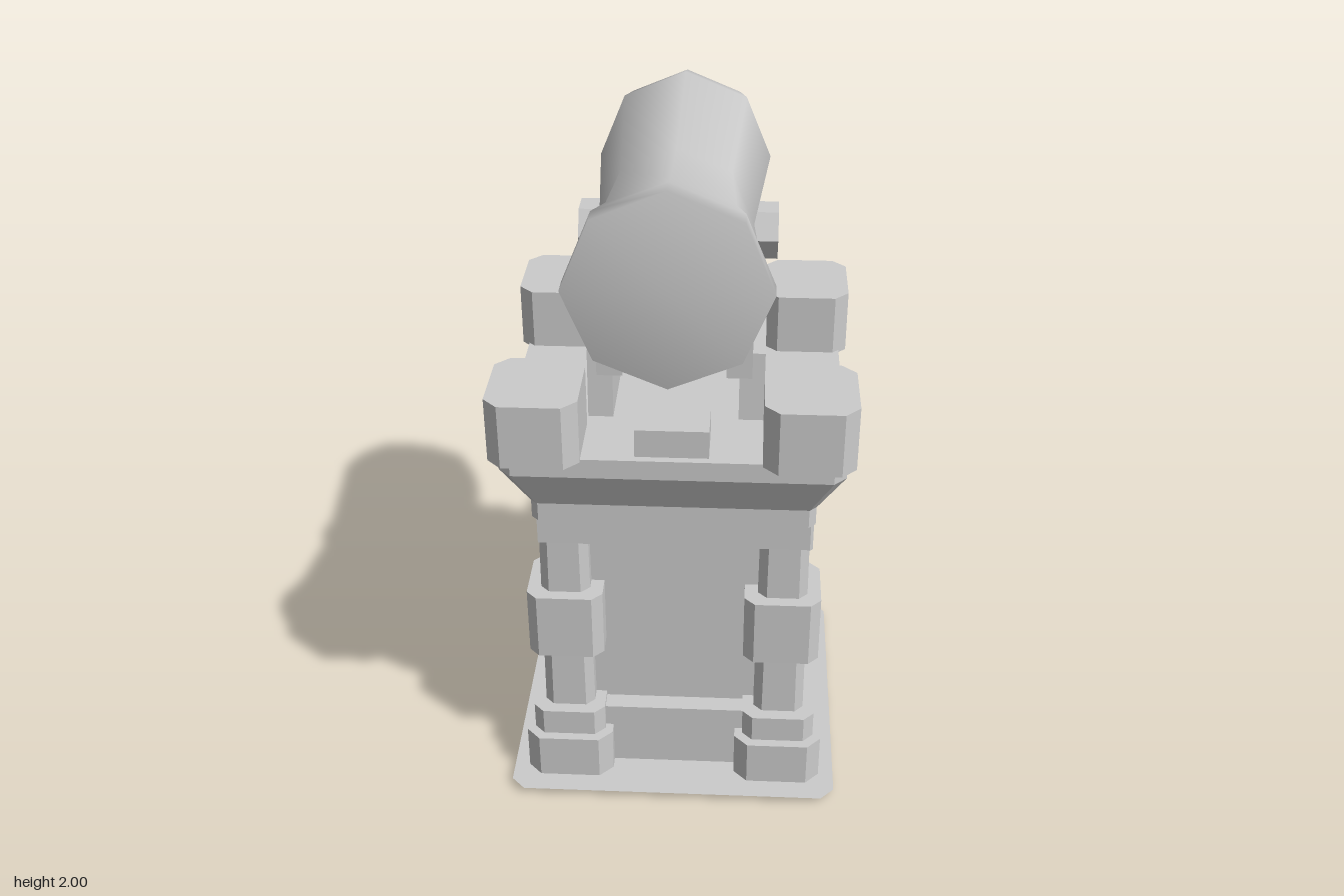
import * as THREE from 'three';

const mat = new THREE.MeshStandardMaterial({ color: 0xcccccc, flatShading: true });
const smoothMat = new THREE.MeshStandardMaterial({ color: 0xcccccc });
const thinMat = new THREE.MeshStandardMaterial({ color: 0xcccccc, side: THREE.DoubleSide });

// Rectangle outline with cut corners, in the x-z plane
function outline(hx, hz, c) {
  return [
    [hx, -hz + c], [hx, hz - c], [hx - c, hz], [-hx + c, hz],
    [-hx, hz - c], [-hx, -hz + c], [-hx + c, -hz], [hx - c, -hz],
  ];
}

// Stack of cut-corner sections [y, halfX, halfZ, cut], closed at both ends
function loft(sections) {
  const rings = sections.map(([y, hx, hz, c]) =>
    outline(hx, hz, c).map(([x, z]) => [x, y, z]));
  const pos = [];
  const tri = (...corners) => corners.forEach((p) => pos.push(...p));
  const last = rings.length - 1;
  for (let i = 0; i < 8; i++) {
    const j = (i + 1) % 8;
    for (let k = 0; k < last; k++) {
      const lo = rings[k], hi = rings[k + 1];
      tri(lo[i], hi[i], lo[j]);
      tri(lo[j], hi[i], hi[j]);
    }
    tri([0, sections[0][0], 0], rings[0][i], rings[0][j]);
    tri([0, sections[last][0], 0], rings[last][j], rings[last][i]);
  }
  const g = new THREE.BufferGeometry();
  g.setAttribute('position', new THREE.Float32BufferAttribute(pos, 3));
  g.computeVertexNormals();
  return g;
}

const toShape = (pts) => new THREE.Shape(pts.map(([x, y]) => new THREE.Vector2(x, y)));

export function createModel() {
  const model = new THREE.Group();
  model.name = 'cannonTower';

  function add(name, geo, x = 0, y = 0, z = 0, material = mat) {
    const m = new THREE.Mesh(geo, material);
    m.name = name;
    m.position.set(x, y, z);
    model.add(m);
    return m;
  }
  // Box given by its limits
  function box(name, x0, x1, y0, y1, z0, z1) {
    return add(name, new THREE.BoxGeometry(x1 - x0, y1 - y0, z1 - z0),
      (x0 + x1) / 2, (y0 + y1) / 2, (z0 + z1) / 2);
  }

  // Thin ground sheet with an extension below the stairs
  const ground = new THREE.ShapeGeometry(toShape([
    [-0.45, -0.51], [0.45, -0.51], [0.49, -0.47], [0.49, 0.41], [0.45, 0.45],
    [0.265, 0.45], [0.265, 0.57], [0.22, 0.615], [-0.22, 0.615], [-0.265, 0.57],
    [-0.265, 0.45], [-0.45, 0.45], [-0.49, 0.41], [-0.49, -0.47],
  ]));
  ground.rotateX(-Math.PI / 2);
  add('groundSheet', ground, 0, 0.022, 0, thinMat);

  // Tower body: plinth, recessed walls, lintel
  box('plinth', -0.37, 0.37, 0.025, 0.235, -0.31, 0.37);
  box('walls', -0.32, 0.32, 0.2, 0.9, -0.25, 0.315);
  box('lintel', -0.385, 0.385, 0.84, 0.94, -0.35, 0.375);

  // Corner columns with base, collar and merlon
  for (const sx of [-1, 1]) {
    for (const front of [true, false]) {
      const x = sx * 0.315;
      const z = front ? 0.305 : -0.245;
      add('columnBase', loft([
        [0.018, 0.095, 0.1, 0.04], [0, 0.105, 0.115, 0.04], [0, 0.13, 0.14, 0.04],
        [0.165, 0.13, 0.14, 0.04], [0.165, 0.107, 0.113, 0.03], [0.25, 0.107, 0.113, 0.03],
      ]), x, 0, z);
      add('columnPost', loft([
        [0.2, 0.075, 0.077, 0.025], [0.84, 0.07, 0.07, 0.025], [0.93, 0.07, 0.07, 0.025],
      ]), x, 0, z);
      add('columnCollar', loft([
        [0.46, 0.11, 0.107, 0.03], [0.67, 0.11, 0.107, 0.03],
      ]), x, 0, z);
      add('cornerMerlon', loft([
        [1.17, 0.124, 0.136, 0.04], [1.357, 0.124, 0.136, 0.04],
      ]), sx * 0.368, 0, front ? 0.372 : -0.317);
    }
  }

  // Band and flared parapet
  add('upperBand', loft([[0.93, 0.397, 0.385, 0.02], [1.0, 0.397, 0.385, 0.02]]), 0, 0, 0.01);
  add('parapet', loft([
    [0.995, 0.397, 0.385, 0.02], [1.12, 0.47, 0.445, 0.035], [1.178, 0.47, 0.445, 0.035],
  ]), 0, 0, 0.022);
  box('frontMerlon', -0.1, 0.1, 1.17, 1.26, 0.31, 0.445);
  box('backMerlon', -0.1, 0.1, 1.17, 1.26, -0.4, -0.265);

  // Stairs at the back
  [[0.11, -0.585], [0.2, -0.52], [0.285, -0.44], [0.36, -0.375], [0.42, -0.325]].forEach(([top, z], i) => {
    box('step', -0.205, 0.205, i ? top - 0.1 : 0.022, top, z, -0.24);
  });

  // Arched door frame with feet and keystone
  const arch = toShape([
    [-0.15, 0.4], [-0.09, 0.4], [-0.09, 0.63], [-0.05, 0.69], [0.05, 0.69], [0.09, 0.63],
    [0.09, 0.4], [0.15, 0.4], [0.15, 0.68], [0.08, 0.77], [-0.08, 0.77], [-0.15, 0.68],
  ]);
  add('doorFrame', new THREE.ExtrudeGeometry(arch, { depth: 0.07, bevelEnabled: false }), 0, 0, -0.305);
  add('keystone', loft([[0.67, 0.07, 0.045, 0.015], [0.8, 0.085, 0.05, 0.015]]), 0, 0, -0.275);
  for (const sx of [-1, 1]) {
    add('doorFoot', loft([
      [0.41, 0.042, 0.055, 0.015], [0.47, 0.042, 0.055, 0.015], [0.52, 0.032, 0.045, 0.01],
    ]), sx * 0.122, 0, -0.275);
  }

  // Cannon carriage: cheek plates, rounded shields and trunnions
  const shield = toShape([
    [-0.235, 1.17], [0.175, 1.17], [0.165, 1.38], [0.085, 1.455], [-0.15, 1.455], [-0.222, 1.38],
  ]);
  for (const sx of [-1, 1]) {
    box('cheekPlate', sx * 0.175 - 0.035, sx * 0.175 + 0.035, 1.35, 1.665, -0.25, 0.31);
    const g = new THREE.ExtrudeGeometry(shield, { depth: 0.07, bevelEnabled: false });
    g.rotateY(Math.PI / 2);
    add('shield', g, sx * 0.21 - 0.035, 0, 0);
    const t = new THREE.CylinderGeometry(0.078, 0.078, 0.12, 6);
    t.rotateY(Math.PI / 2 + Math.PI / 2);
    t.rotateZ(Math.PI / 2);
    add('trunnion', t, sx * 0.21, 1.665, 0.038);
  }

  // Eight-sided barrel with a rounded breech and a flared, closed muzzle
  const profile = [
    [0, -0.575], [0.16, -0.535], [0.22, -0.44], [0.248, -0.33], [0.204, 0.18],
    [0.225, 0.44], [0.26, 0.555], [0.26, 0.612], [0, 0.612],
  ].map(([r, z]) => new THREE.Vector2(r, z));
  const barrel = new THREE.LatheGeometry(profile, 8);
  barrel.rotateX(Math.PI / 2);
  add('barrel', barrel, 0, 1.74, 0, smoothMat);

  return model;
}
